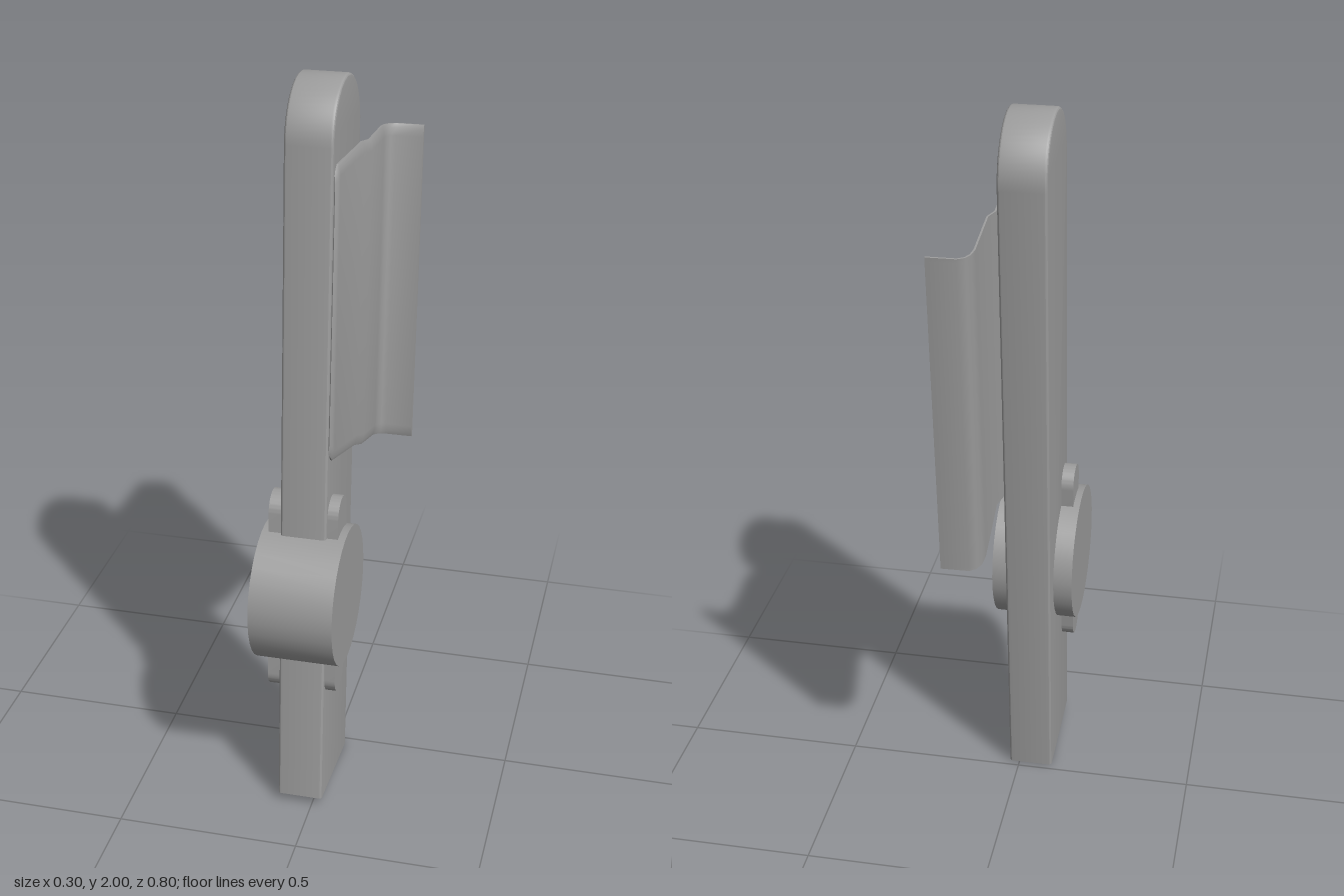
import * as THREE from 'three';
import { toCreasedNormals } from 'three/addons/utils/BufferGeometryUtils.js';

const material = new THREE.MeshStandardMaterial({ color: 0x9c9c9c });
const TILT = 0.0855; // the bar leans back

function addMesh(group, name, geometry, crease = 0.35) {
  const mesh = new THREE.Mesh(toCreasedNormals(geometry, crease), material);
  mesh.name = name;
  group.add(mesh);
}

// Extrudes a side outline across x, leaning back about (z, y)
function sideExtrude(shape, x0, x1, z, y, bevel, adjust) {
  const geometry = new THREE.ExtrudeGeometry(shape, {
    depth: x1 - x0 - 2 * bevel, curveSegments: 14, bevelEnabled: bevel > 0,
    bevelSize: bevel, bevelThickness: bevel, bevelOffset: -bevel, bevelSegments: 4,
  });
  if (adjust) adjust(geometry.attributes.position);
  return geometry.rotateZ(TILT).rotateY(-Math.PI / 2).translate(x1 - bevel, y, z);
}

// Clip plate: one bent section, lofted from the bottom edge to the top edge
function clipGeometry() {
  // x and fraction across the plate, from front edge to lip
  const path = [[0.027, 0], [0.032, 0.012], [0.034, 0.035], [0.034, 0.53], [0.047, 0.585],
    [0.043, 0.9], [0.047, 0.945], [0.056, 0.973], [0.072, 0.989], [0.147, 0.991]];
  // height fraction and thickness: the outer face rolls in at both ends
  const rows = [[0, 0.45], [0.012, 0.8], [0.035, 1], [0.965, 1], [0.988, 0.8], [1, 0.45]];
  const half = 0.0055, width = 0.55;
  const pts = path.map(([x, s]) => new THREE.Vector2(x, s * width));
  const offset = (side) => pts.map((p, i) => {
    const d = pts[Math.min(i + 1, pts.length - 1)].clone().sub(pts[Math.max(i - 1, 0)]).normalize();
    return new THREE.Vector2(p.x + side * d.y * half, p.y - side * d.x * half);
  });
  const outer = offset(1), inner = offset(-1), n = pts.length, last = rows.length - 1;
  const place = (p, v) => {
    const s = p.y / width;
    const drop = 0.018 * Math.max(0, 1 - s / 0.035); // softened front corners
    const mix = THREE.MathUtils.lerp;
    return [p.x, mix(1.045 - 0.183 * s + drop, 1.815 - 0.056 * s - drop, v),
      mix(0.224 - 0.537 * s, 0.152 - 0.55 * s, v)];
  };
  const out = (i, k) => place(inner[i].clone().lerp(outer[i], rows[k][1]), rows[k][0]);
  const inn = (i, k) => place(inner[i], rows[k][0]);
  const pos = [];
  const quad = (a, b, c, d) => pos.push(...a, ...b, ...c, ...a, ...c, ...d);
  for (let i = 0; i < n - 1; i++) {
    for (let k = 0; k < last; k++) {
      quad(out(i, k), out(i + 1, k), out(i + 1, k + 1), out(i, k + 1));
      quad(inn(i + 1, k), inn(i, k), inn(i, k + 1), inn(i + 1, k + 1));
    }
    quad(out(i, last), out(i + 1, last), inn(i + 1, last), inn(i, last));
    quad(out(i + 1, 0), out(i, 0), inn(i, 0), inn(i + 1, 0));
  }
  // front edge and lip edge
  for (let k = 0; k < last; k++) {
    quad(inn(0, k), out(0, k), out(0, k + 1), inn(0, k + 1));
    quad(out(n - 1, k), inn(n - 1, k), inn(n - 1, k + 1), out(n - 1, k + 1));
  }
  const geometry = new THREE.BufferGeometry();
  geometry.setAttribute('position', new THREE.Float32BufferAttribute(pos, 3));
  return geometry;
}

export function createModel() {
  const group = new THREE.Group();

  // Long bar with a rounded top, square foot and softened long edges
  const r = 0.152, length = 1.842;
  const barShape = new THREE.Shape();
  barShape.moveTo(-r, 0);
  barShape.lineTo(r, 0);
  barShape.lineTo(r, length);
  barShape.absarc(0, length, r, 0, Math.PI, false);
  barShape.closePath();
  const squareFoot = (p) => {
    for (let i = 0; i < p.count; i++) if (p.getY(i) < 0.1) p.setY(i, 0);
  };
  addMesh(group, 'bar', sideExtrude(barShape, -0.096, 0.029, 0.17, 0.013, 0.009, squareFoot));

  // Round drum through the bar
  const drum = new THREE.CylinderGeometry(0.192, 0.192, 0.226, 32);
  drum.rotateZ(Math.PI / 2).translate(-0.035, 0.637, 0.209);
  addMesh(group, 'drum', drum);

  // Rounded tabs showing above and below the drum
  const tabShape = new THREE.Shape();
  tabShape.absarc(0, 0.24, 0.05, 0, Math.PI, false);
  tabShape.absarc(0, -0.24, 0.05, Math.PI, 2 * Math.PI, false);
  tabShape.closePath();
  addMesh(group, 'tabs', sideExtrude(tabShape, -0.13, 0.058, 0.21, 0.635, 0));

  // Bent clip plate with its lip
  addMesh(group, 'clip', clipGeometry(), 0.6);

  return group;
}
